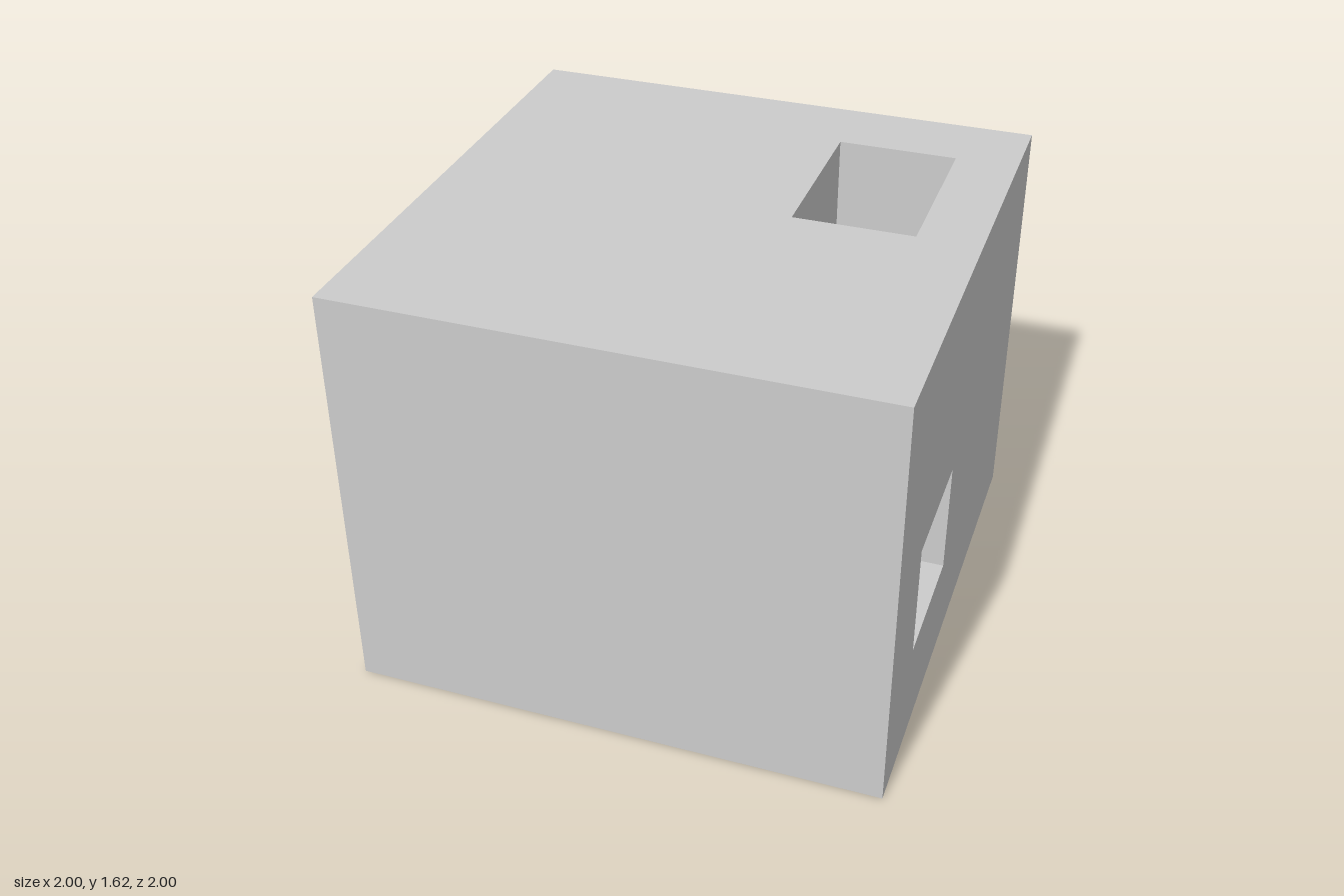
import * as THREE from 'three';

const HEIGHT = 1.625;
const Q = Math.PI / 2;
// Tunnel openings: [min, max] per axis
const shaft = { x: [0.317, 0.765], z: [-0.703, -0.045] };
const duct = { z: [0.155, 0.65], y: [0.385, 0.825] };

const size = ([a, b]) => b - a;
const mid = ([a, b]) => (a + b) / 2;
const flip = ([a, b]) => [-b, -a];

function rectangle(path, [u0, u1], [v0, v1]) {
  path.moveTo(u0, v0).lineTo(u1, v0).lineTo(u1, v1).lineTo(u0, v1).closePath();
  return path;
}

// Flat face pointing to +z, with an optional rectangular opening
function panel(v, hole) {
  const shape = rectangle(new THREE.Shape(), [-1, 1], v);
  if (hole) shape.holes.push(rectangle(new THREE.Path(), ...hole));
  return new THREE.ShapeGeometry(shape);
}

// Open square tube along y, mirrored so its walls face inwards
function tunnel(width, length, depth) {
  const tube = new THREE.CylinderGeometry(Math.SQRT1_2, Math.SQRT1_2, 1, 4, 1, true, Math.PI / 4);
  const geometry = tube.toNonIndexed().scale(-width, length, depth);
  geometry.computeVertexNormals();
  return geometry;
}

export function createModel() {
  const model = new THREE.Group();
  model.name = 'piercedBlock';
  const material = new THREE.MeshStandardMaterial({ color: 0xcccccc, flatShading: true });
  const add = (name, geometry) => {
    const mesh = new THREE.Mesh(geometry, material);
    mesh.name = name;
    model.add(mesh);
  };
  const wall = [0, HEIGHT], slab = [-1, 1];

  // Outer faces
  add('frontFace', panel(wall).translate(0, 0, 1));
  add('backFace', panel(wall).rotateY(2 * Q).translate(0, 0, -1));
  add('leftFace', panel(wall, [flip(duct.z), duct.y]).rotateY(Q).translate(1, 0, 0));
  add('rightFace', panel(wall, [duct.z, duct.y]).rotateY(-Q).translate(-1, 0, 0));
  add('topFace', panel(slab, [shaft.x, flip(shaft.z)]).rotateX(-Q).translate(0, HEIGHT, 0));
  add('bottomFace', panel(slab, [shaft.x, shaft.z]).rotateX(Q));

  // Inner walls of the two through holes
  add('verticalShaft', tunnel(size(shaft.x), HEIGHT, size(shaft.z))
    .translate(mid(shaft.x), HEIGHT / 2, mid(shaft.z)));
  add('sideDuct', tunnel(size(duct.y), 2, size(duct.z))
    .rotateZ(Q).translate(0, mid(duct.y), mid(duct.z)));

  return model;
}
